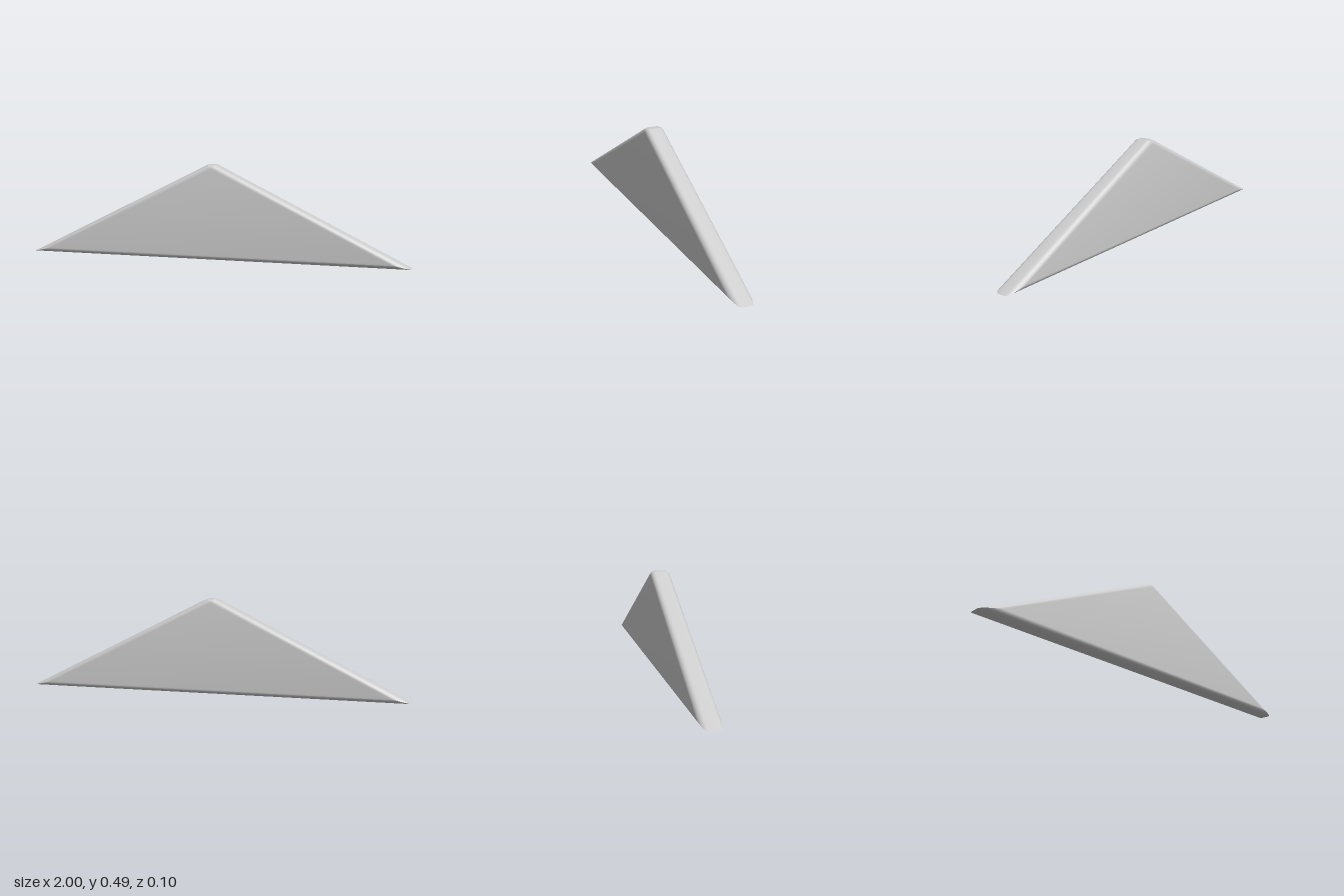
import * as THREE from 'three';
import { toCreasedNormals } from 'three/addons/utils/BufferGeometryUtils.js';

const BEVEL = 0.026;      // inset of the flat faces from the outline
const HALF_RIM = 0.023;   // half depth of the straight rim
const HALF_DEPTH = 0.05;
const STEPS = 6;

// Triangle outline inset by d, with a narrow flat at the apex
function outline(d, z) {
  const tip = 0.018 * (1 - d / BEVEL) + 0.001;
  const foot = 1 - 4.236 * d;
  const top = 0.5 * (1 - tip) - 1.118 * d;
  return [[-foot, d, z], [foot, d, z], [tip, top, z], [-tip, top, z]];
}

function wedgeGeometry() {
  // Cross-sections from back to front, following a rounded bevel
  const front = [];
  for (let i = 0; i <= STEPS; i++) {
    const t = (i / STEPS) * Math.PI / 2;
    front.push([BEVEL * (1 - Math.cos(t)), HALF_RIM + (HALF_DEPTH - HALF_RIM) * Math.sin(t)]);
  }
  const back = front.map(([d, z]) => [d, -z]).reverse();
  const rings = [...back, ...front].map(([d, z]) => outline(d, z));

  const pos = [];
  const quad = (a, b, c, d) => pos.push(...a, ...b, ...c, ...a, ...c, ...d);
  for (let k = 0; k < rings.length - 1; k++) {
    for (let i = 0; i < 4; i++) {
      const j = (i + 1) % 4;
      quad(rings[k][i], rings[k][j], rings[k + 1][j], rings[k + 1][i]);
    }
  }
  // Flat faces
  quad(...rings[rings.length - 1]);
  quad(...[...rings[0]].reverse());

  const geometry = new THREE.BufferGeometry();
  geometry.setAttribute('position', new THREE.Float32BufferAttribute(pos, 3));
  return toCreasedNormals(geometry, 0.4);
}

export function createModel() {
  const group = new THREE.Group();
  group.name = 'triangularPanel';
  const panel = new THREE.Mesh(wedgeGeometry(), new THREE.MeshStandardMaterial({ color: 0xcccccc }));
  panel.name = 'bevelledPanel';
  group.add(panel);
  return group;
}
